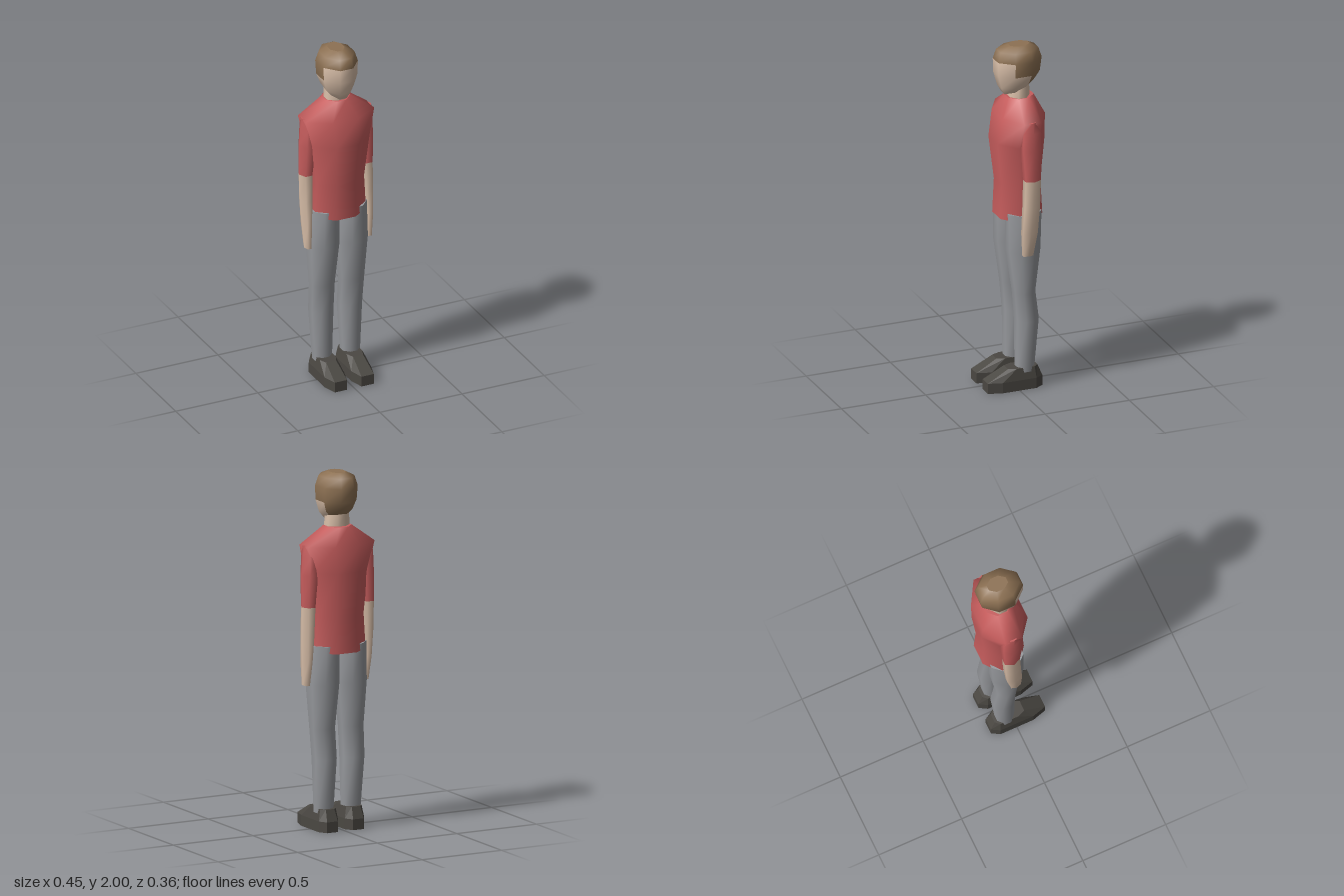
import * as THREE from 'three';

const mat = (name, color) => {
  const m = new THREE.MeshStandardMaterial({ color });
  m.name = name;
  return m;
};

// Cross-section outlines in a unit square, from the front round by +x to the back
const mirrored = (half) => [...half, ...half.slice().reverse().map(([x, z]) => [-x, z])];
const OCT = mirrored([[0.38, 1], [1, 0.4], [1, -0.4], [0.38, -1]]);
const HEX = [[0.5, 1], [1, 0], [0.5, -1], [-0.5, -1], [-1, 0], [-0.5, 1]];
const SOLE = mirrored([[0.62, 1], [1, 0.5], [1, -0.72], [0.55, -1]]);

// Lofts rings [y, xMin, xMax, zBack, zFront, backLift] from bottom to top.
// pick(row, side) gives the material index; row -1 is the bottom cap.
function loft(outline, rings, pick = () => 0, flat = false) {
  const n = outline.length, top = rings.length - 1;
  const pos = [], faces = [];
  const addRing = ([y, x0, x1, z0, z1, lift = 0]) => {
    for (const [u, v] of outline) {
      pos.push((x0 + x1) / 2 + (u * (x1 - x0)) / 2, y + (lift * (1 - v)) / 2, (z0 + z1) / 2 + (v * (z1 - z0)) / 2);
    }
  };
  rings.forEach(addRing);
  for (let r = 0; r < top; r++) {
    for (let i = 0; i < n; i++) {
      const a = r * n + i, b = r * n + ((i + 1) % n);
      faces.push([pick(r, i), a, b, b + n, a, b + n, a + n]);
    }
  }
  // Caps have their own vertices, so their rims stay sharp
  const lo = rings.length * n, hi = lo + n;
  addRing(rings[0]);
  addRing(rings[top]);
  for (let i = 1; i < n - 1; i++) {
    faces.push([pick(-1, i), lo, lo + i + 1, lo + i]);
    faces.push([pick(top, i), hi, hi + i, hi + i + 1]);
  }
  let geo = new THREE.BufferGeometry();
  geo.setAttribute('position', new THREE.Float32BufferAttribute(pos, 3));
  const index = [];
  for (const m of [0, 1]) {
    const start = index.length;
    faces.filter((f) => f[0] === m).forEach((f) => index.push(...f.slice(1)));
    if (index.length > start) geo.addGroup(start, index.length - start, m);
  }
  geo.setIndex(index);
  if (flat) geo = geo.toNonIndexed();
  geo.computeVertexNormals();
  return geo;
}

export function createModel() {
  const shirt = mat('shirt red', 0xc75d5d);
  const trousers = mat('trouser grey', 0x97999d);
  const skin = mat('skin', 0xd9bfa9);
  const hair = mat('hair brown', 0x8d7153);
  const leather = mat('shoe dark grey', 0x4b4843);

  const model = new THREE.Group();
  model.name = 'standingPerson';
  const add = (name, geo, ...mats) => {
    const mesh = new THREE.Mesh(geo, mats);
    mesh.name = name;
    model.add(mesh);
  };
  // Rings symmetric about x = 0: [y, halfWidth, zBack, zFront, backLift]
  const centred = (rows) => rows.map(([y, w, ...z]) => [y, -w, w, ...z]);

  // Shirt body
  add('torso', loft(OCT, centred([
    [1.0, 0.155, -0.168, 0.08],
    [1.2, 0.145, -0.158, 0.072],
    [1.45, 0.172, -0.178, 0.1],
    [1.6, 0.208, -0.175, 0.075],
    [1.7, 0.072, -0.13, 0.022],
  ])), shirt);

  add('neck', loft(OCT, centred([
    [1.66, 0.07, -0.105, 0.012],
    [1.79, 0.062, -0.105, 0.005],
  ])), skin);

  // Head: hair covers the crown, the back and the upper sides
  const hairFaces = (row, side) => {
    if (row >= 3) return 1;
    if (row === 2) return side >= 1 && side <= 5 ? 1 : 0;
    return row >= 0 && side >= 2 && side <= 4 ? 1 : 0;
  };
  add('head', loft(OCT, centred([
    [1.72, 0.055, -0.115, 0.04, 0.05],
    [1.76, 0.083, -0.135, 0.062, 0.035],
    [1.84, 0.102, -0.162, 0.083],
    [1.92, 0.105, -0.172, 0.085],
    [1.975, 0.088, -0.155, 0.068],
    [2.0, 0.042, -0.11, 0.005],
  ]), hairFaces), skin, hair);

  // Limbs, given for the +x side and mirrored
  const arm = [
    [0.815, 0.165, 0.203, -0.058, 0.0],
    [0.95, 0.158, 0.213, -0.083, 0.005],
    [1.1, 0.148, 0.222, -0.094, -0.004],
    [1.26, 0.143, 0.224, -0.1, -0.01],
    [1.44, 0.125, 0.225, -0.106, 0.003],
    [1.54, 0.135, 0.217, -0.104, 0.0],
    [1.605, 0.185, 0.212, -0.07, -0.03],
  ];
  const leg = [
    [0.1, 0.034, 0.136, -0.1, 0.0],
    [0.4, 0.022, 0.152, -0.125, 0.002],
    [0.57, 0.022, 0.157, -0.103, 0.016],
    [0.82, 0.0, 0.172, -0.132, 0.05],
    [1.04, 0.0, 0.166, -0.14, 0.052],
  ];
  const shoe = [
    [0, 0.021, 0.142, -0.145, 0.18],
    [0.06, 0.021, 0.142, -0.145, 0.18],
    [0.125, 0.033, 0.13, -0.118, 0.058],
  ];
  for (const [side, s] of [['left', 1], ['right', -1]]) {
    const place = (rings) => rings.map(([y, a, b, ...z]) => (s > 0 ? [y, a, b, ...z] : [y, -b, -a, ...z]));
    add(side + 'Arm', loft(HEX, place(arm), (row) => (row >= 3 ? 1 : 0)), skin, shirt);
    add(side + 'Leg', loft(OCT, place(leg)), trousers);
    add(side + 'Shoe', loft(SOLE, place(shoe), undefined, true), leather);
  }
  return model;
}
